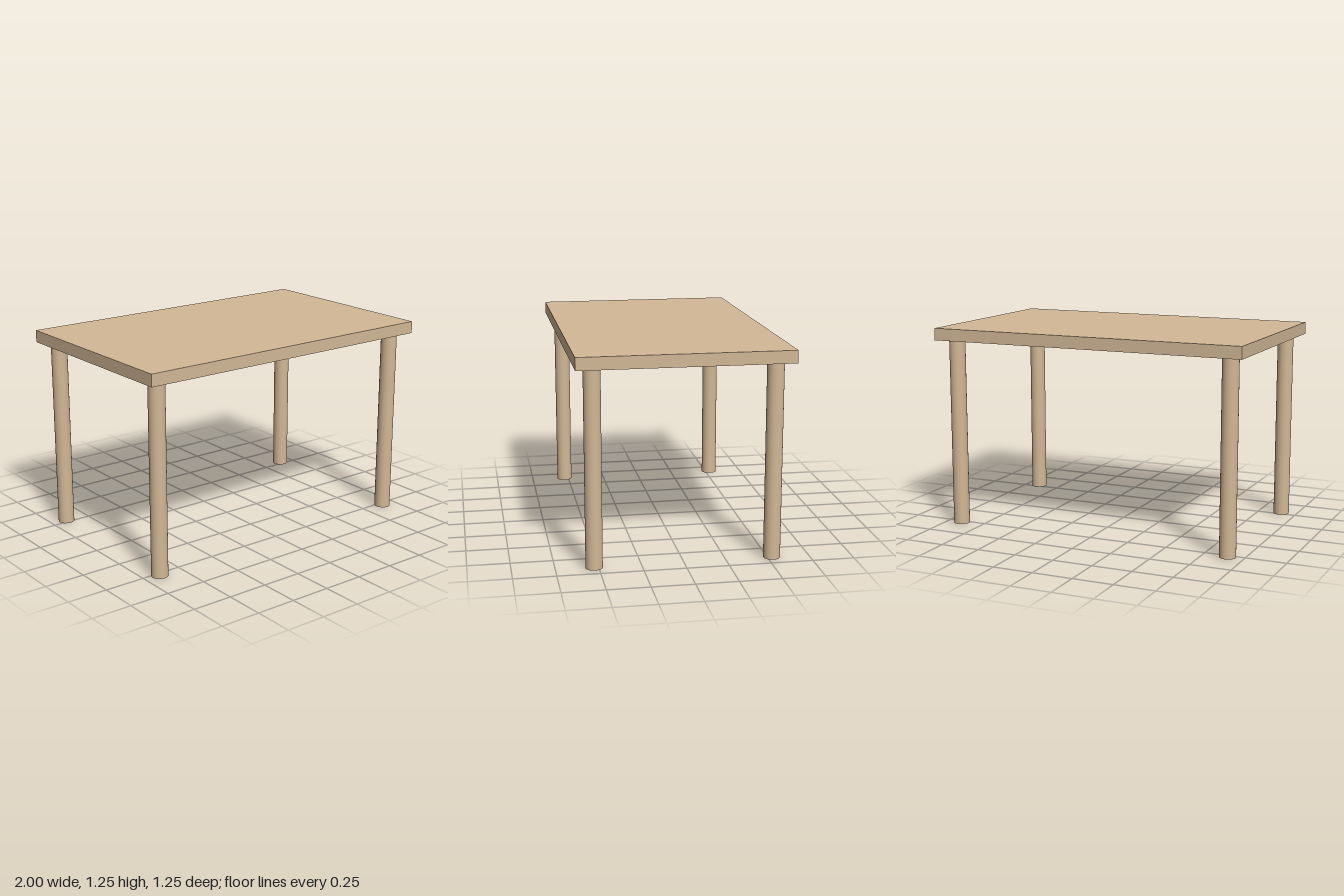
import * as THREE from 'three';

export function createModel() {
  const model = new THREE.Group();
  model.name = 'table';
  const wood = new THREE.MeshStandardMaterial({ color: 0xd2b896 });

  const legHeight = 1.18, topThickness = 0.075;

  // Flat rectangular top
  const top = new THREE.Mesh(new THREE.BoxGeometry(2, topThickness, 1.255), wood);
  top.name = 'tableTop';
  top.position.y = legHeight + topThickness / 2;
  model.add(top);

  // Four round legs, set in from the corners
  const legGeometry = new THREE.CylinderGeometry(0.05, 0.05, legHeight, 32);
  for (const [sideName, x] of [['Left', 0.9], ['Right', -0.9]]) {
    for (const [endName, z] of [['front', 0.526], ['back', -0.526]]) {
      const leg = new THREE.Mesh(legGeometry, wood);
      leg.name = `${endName}${sideName}Leg`;
      leg.position.set(x, legHeight / 2, z);
      model.add(leg);
    }
  }
  return model;
}
